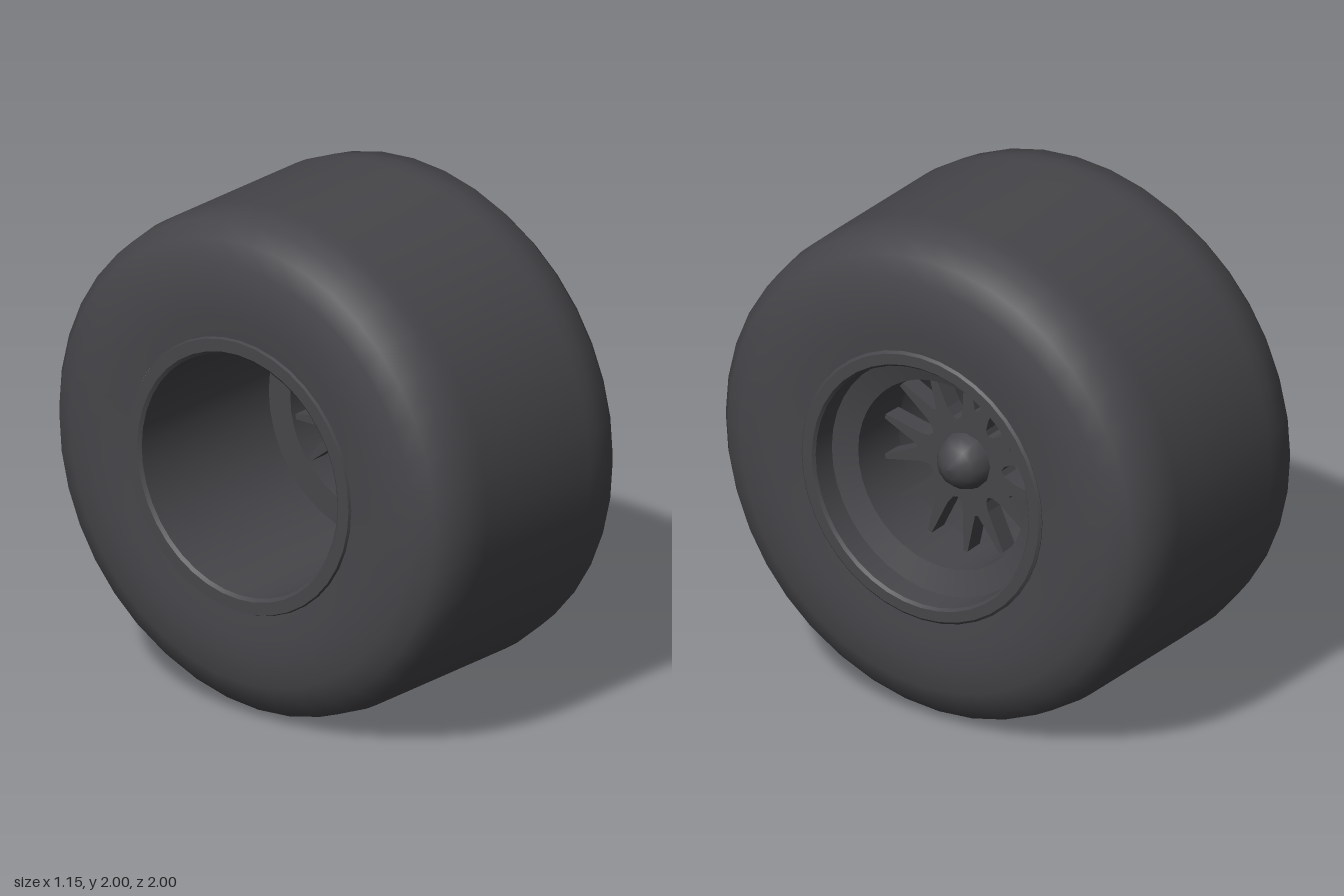
import * as THREE from 'three';

const rubber = new THREE.MeshStandardMaterial({ color: 0x464549 });
rubber.name = 'charcoal';
const SEG = 40;

export function createModel() {
  const wheel = new THREE.Group();
  wheel.name = 'wheel';

  const add = (name, geometry) => {
    const mesh = new THREE.Mesh(geometry, rubber);
    mesh.name = name;
    mesh.position.y = 1;
    wheel.add(mesh);
  };

  // Turns a [radius, x] profile around the axle
  const turn = (name, profile, seg = SEG) => {
    const points = profile.map(([r, x]) => new THREE.Vector2(r, x));
    add(name, new THREE.LatheGeometry(points, seg).rotateZ(-Math.PI / 2));
  };

  // Turns each straight run separately so that the edges stay sharp
  const turnSharp = (name, profile, seg = SEG) => {
    for (let i = 0; i < profile.length - 1; i++) turn(name, [profile[i], profile[i + 1]], seg);
  };

  // Tyre: rounded shoulders, nearly flat sidewalls
  const half = [[0.55, 0.565], [0.64, 0.573], [0.73, 0.574], [0.84, 0.558],
    [0.925, 0.52], [0.98, 0.455], [0.998, 0.36], [1, 0.3]];
  turn('tyre', [...half.map(([r, x]) => [r, -x]), ...half.slice().reverse()]);

  // Front rim: raised lip, shallow well, sloped step and inner barrel
  turnSharp('frontRimLip', [[0.553, 0.555], [0.553, 0.568], [0.543, 0.577], [0.5, 0.577], [0.49, 0.565]]);
  turnSharp('frontRimWell', [[0.49, 0.565], [0.482, 0.47], [0.385, 0.435], [0.376, 0.18]]);

  // Rear rim: flat lip and a deep open barrel closing behind the spokes
  turnSharp('rearRimBarrel', [[0.376, 0.18], [0.482, 0.18], [0.482, -0.565]]);
  turnSharp('rearRimLip', [[0.482, -0.565], [0.495, -0.576], [0.545, -0.576], [0.553, -0.555]]);

  // Seven forked spokes drawn as one star outline
  const star = [];
  const step = Math.PI * 2 / 7;
  for (let i = 0; i < 7; i++) {
    const fork = Math.PI + i * step;
    const gap = fork + step / 2;
    const at = (angle, r) => star.push(new THREE.Vector2(Math.cos(angle) * r, Math.sin(angle) * r));
    at(fork - 0.03, 0.225);
    at(fork + 0.03, 0.225);
    at(fork + step / 4 - 0.025, 0.38);
    at(fork + step / 4 + 0.025, 0.38);
    at(gap - 0.17, 0.215);
    at(gap - 0.11, 0.178);
    at(gap, 0.165);
    at(gap + 0.11, 0.178);
    at(gap + 0.17, 0.215);
    at(gap + step / 4 - 0.025, 0.38);
    at(gap + step / 4 + 0.025, 0.38);
  }
  const spokes = new THREE.ExtrudeGeometry(new THREE.Shape(star), { depth: 0.08, bevelEnabled: false });
  add('spokes', spokes.rotateY(Math.PI / 2).translate(0.2, 0, 0));

  // Hub: short barrel with a domed cap
  turnSharp('hub', [[0, 0.18], [0.115, 0.18], [0.115, 0.28]], 12);
  turn('hubCap', [[0.115, 0.275], [0.106, 0.315], [0.08, 0.355], [0.04, 0.38], [0, 0.388]], 12);

  return wheel;
}
